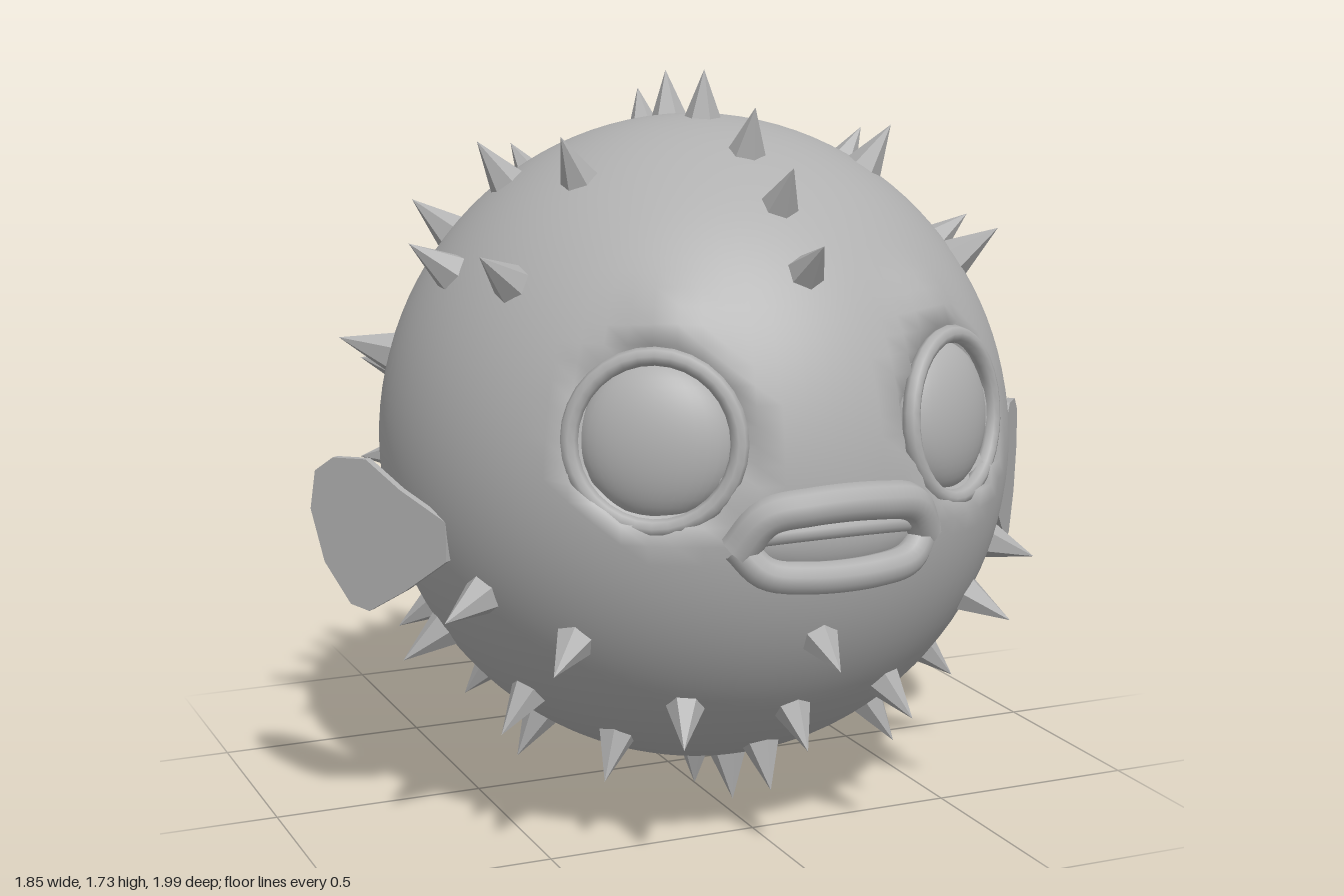
import * as THREE from 'three';
import { mergeVertices } from 'three/addons/utils/BufferGeometryUtils.js';

const V = (x, y, z) => new THREE.Vector3(x, y, z);
const CENTER = V(0, 0.85, 0.15);
const R = 0.76;
const EYE = V(0.35, 0.13, 0.6).normalize();
const BROW = V(0.31, 0.38, 0.58).normalize();

export function createModel() {
  const skin = new THREE.MeshStandardMaterial({ color: 0xb0b0b0 });
  const facetedSkin = skin.clone();
  facetedSkin.flatShading = true;
  skin.name = 'skin grey';
  facetedSkin.name = 'skin grey faceted';

  const model = new THREE.Group();
  model.name = 'pufferfish';
  const add = (name, geometry, material = skin, parent = model) => {
    const mesh = new THREE.Mesh(geometry, material);
    mesh.name = name;
    parent.add(mesh);
    return mesh;
  };

  // Round body with sunken eye sockets and raised brows
  let body = new THREE.SphereGeometry(1, 80, 56);
  body.deleteAttribute('uv');
  body.deleteAttribute('normal');
  body = mergeVertices(body, 1e-4);
  const pos = body.attributes.position;
  const d = V(0, 0, 0), m = V(0, 0, 0);
  for (let i = 0; i < pos.count; i++) {
    d.fromBufferAttribute(pos, i).normalize();
    m.set(Math.abs(d.x), d.y, d.z);
    const eyeGap = m.angleTo(EYE) * R, browGap = m.angleTo(BROW) * R;
    const r = R - 0.075 * (1 - THREE.MathUtils.smoothstep(eyeGap, 0.15, 0.2))
      + 0.022 * Math.exp(-((browGap / 0.08) ** 2));
    pos.setXYZ(i, d.x * r * 0.975, d.y * r, d.z * r);
  }
  body.computeVertexNormals();
  add('body', body).position.copy(CENTER);

  // Tail root, flaring out of the body
  const root = [[0, 0.78], [0.04, 0.765], [0.065, 0.73], [0.09, 0.67], [0.15, 0.62], [0.27, 0.55], [0.43, 0.45]];
  const tailRoot = add('tailRoot', new THREE.LatheGeometry(
    root.reverse().map(([r, z]) => new THREE.Vector2(r, z)), 28));
  tailRoot.rotation.x = -Math.PI / 2;
  tailRoot.position.y = 0.88;

  // Eyes with rims
  for (const side of [1, -1]) {
    const axis = V(EYE.x * side, EYE.y, EYE.z);
    const eye = new THREE.Group();
    eye.name = side > 0 ? 'leftEye' : 'rightEye';
    eye.position.copy(CENTER).addScaledVector(axis, 0.685);
    eye.lookAt(eye.position.clone().add(V(0.52 * side, 0.1, 0.84)));
    add('eyeball', new THREE.SphereGeometry(1, 32, 20), skin, eye).scale.set(0.168, 0.168, 0.075);
    add('eyeRim', new THREE.TorusGeometry(0.182, 0.02, 8, 32), skin, eye).position.z = 0.035;
    model.add(eye);
  }

  // Mouth: a backing and two pouting lips
  const mouth = add('mouth', new THREE.SphereGeometry(1, 28, 16));
  mouth.position.set(0, 0.78, 0.86);
  mouth.scale.set(0.23, 0.1, 0.07);
  const lip = (name, points, radius) => add(name, new THREE.TubeGeometry(
    new THREE.CatmullRomCurve3(points.map(p => V(...p))), 32, radius, 10));
  lip('upperLip', [[-0.22, 0.76, 0.885], [-0.17, 0.835, 0.92], [-0.08, 0.855, 0.945],
    [0.08, 0.855, 0.945], [0.17, 0.835, 0.92], [0.22, 0.76, 0.885]], 0.042);
  lip('lowerLip', [[-0.22, 0.77, 0.885], [-0.17, 0.715, 0.915], [-0.08, 0.7, 0.935],
    [0.08, 0.7, 0.935], [0.17, 0.715, 0.915], [0.22, 0.77, 0.885]], 0.036);
  lip('innerLip', [[-0.19, 0.79, 0.9], [-0.08, 0.8, 0.93], [0.08, 0.8, 0.93], [0.19, 0.79, 0.9]], 0.022);

  // Fan-shaped fin: thin plate with tapering rays; u runs outward, v runs up
  const fin = (name, outline, thickness, origin, tips) => {
    const group = new THREE.Group();
    group.name = name;
    const plate = new THREE.ExtrudeGeometry(
      new THREE.Shape(outline.map(p => new THREE.Vector2(...p))),
      { depth: thickness, bevelEnabled: false });
    plate.translate(0, 0, -thickness / 2);
    add('finPlate', plate, facetedSkin, group);
    for (const [u, v] of tips) {
      const dir = V(u - origin[0], v - origin[1], 0);
      const length = dir.length();
      const ray = add('finRay', new THREE.CylinderGeometry(0.016, 0.008, length, 5), facetedSkin, group);
      ray.quaternion.setFromUnitVectors(V(0, 1, 0), dir.normalize());
      ray.position.set(origin[0], origin[1], 0).addScaledVector(dir, length / 2);
      ray.scale.z = 1.2;
    }
    model.add(group);
    return group;
  };

  // Tail fin
  const tail = fin('tailFin', [[0.62, 0.05], [0.72, 0.07], [0.8, 0.18], [0.88, 0.26], [0.935, 0.3],
    [0.965, 0.28], [0.99, 0.17], [1, 0.02], [0.985, -0.13], [0.955, -0.24], [0.92, -0.26],
    [0.84, -0.22], [0.76, -0.13], [0.71, -0.06], [0.62, -0.06]], 0.018, [0.66, 0],
  [[0.92, 0.27], [0.95, 0.18], [0.975, 0.09], [0.98, 0], [0.97, -0.1], [0.935, -0.2]]);
  tail.position.y = 0.88;
  tail.rotation.y = Math.PI / 2;

  // Side fins, swept backward
  for (const side of [1, -1]) {
    const f = fin(side > 0 ? 'leftFin' : 'rightFin', [[-0.04, -0.05], [0.07, -0.13], [0.17, -0.19],
      [0.22, -0.18], [0.29, -0.09], [0.325, 0.03], [0.31, 0.12], [0.26, 0.155], [0.17, 0.16],
      [0.08, 0.1], [-0.04, 0.04]], 0.018, [-0.02, 0], []);
    f.position.set(0.715 * side, 0.715, 0.35);
    f.rotation.y = side > 0 ? 0.9 : Math.PI - 0.9;
  }

  // Spines, all pointing away from the body centre
  const spineShape = new THREE.ConeGeometry(0.052, 0.135, 6);
  const spine = dir => {
    const s = add('spine', spineShape, facetedSkin);
    dir.normalize();
    s.quaternion.setFromUnitVectors(V(0, 1, 0), dir);
    s.position.copy(CENTER).addScaledVector(dir, 0.8);
  };
  // Middle row, as angles from the nose over the back
  for (const deg of [38, 52, 67, 86, 101, 113, 138, 155, 195, 206, 224, 238, 257, 271, 286, 301, 317, 335]) {
    const a = THREE.MathUtils.degToRad(deg);
    spine(V(0, Math.sin(a), Math.cos(a)));
  }
  // Mirrored pairs, as [z, y]
  const pairs = [[0.34, 1.53], [0.05, 1.5], [0.44, 1.31], [0.19, 1.31], [-0.15, 1.36], [-0.3, 1.46],
    [-0.13, 1.07], [-0.36, 0.98], [-0.37, 1.23], [-0.53, 1.08], [-0.36, 0.75], [-0.18, 0.66],
    [-0.34, 0.54], [0.47, 0.58], [0.65, 0.5], [0.38, 0.3], [0.11, 0.4], [-0.15, 0.4],
    [0.7, 0.33], [0.47, 0.2], [-0.1, 0.24], [0.16, 0.17]];
  for (const [z, y] of pairs) {
    const dz = z - CENTER.z, dy = y - CENTER.y;
    const x = Math.sqrt(Math.max(0.02, 0.64 - dz * dz - dy * dy));
    for (const side of [1, -1]) spine(V(x * side, dy, dz));
  }
  return model;
}
